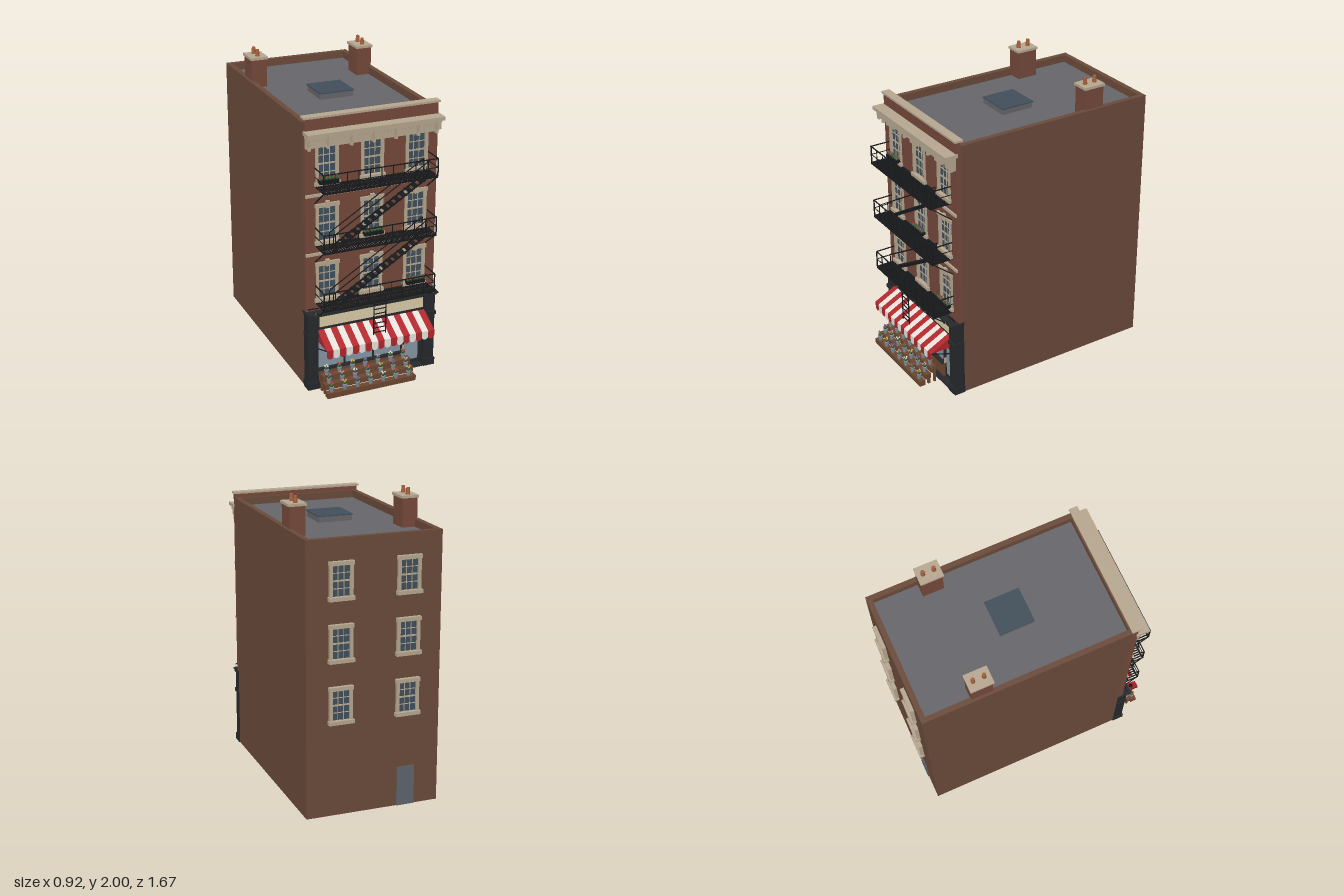
import * as THREE from 'three';

const C = {
  brick: 0x74483a, side: 0x6a4a3a, stone: 0xb5a68f, roof: 0x66666a, glass: 0x414f5a, shopGlass: 0x8496a2,
  iron: 0x18191b, shop: 0x26282b, cream: 0xd8cba6, red: 0xb0262c, white: 0xe6e2da, wood: 0x6b4630,
  clay: 0xa2603c, green: 0x35592f, bucket: 0x7d8a92, floor: 0x40342a, door: 0x5c646a
};
const mats = {};
const mat = (color) => (mats[color] ??= new THREE.MeshStandardMaterial({ color, side: THREE.DoubleSide, flatShading: true }));

function add(parent, name, geo, color) {
  const m = new THREE.Mesh(geo, mat(color));
  m.name = name;
  parent.add(m);
  return m;
}
// Box given by its limits on each axis
function box(parent, name, [x0, x1], [y0, y1], [z0, z1], color) {
  const m = add(parent, name, new THREE.BoxGeometry(x1 - x0, y1 - y0, z1 - z0), color);
  m.position.set((x0 + x1) / 2, (y0 + y1) / 2, (z0 + z1) / 2);
  return m;
}
// Square bar between two points
function bar(parent, name, a, b, t = 0.006, color = C.iron) {
  const p = new THREE.Vector3(...a), q = new THREE.Vector3(...b);
  const m = add(parent, name, new THREE.BoxGeometry(t, t, p.distanceTo(q)), color);
  m.position.copy(p).lerp(q, 0.5);
  m.lookAt(q);
  return m;
}
function group(parent, name) {
  const g = new THREE.Group();
  g.name = name;
  parent.add(g);
  return g;
}
function rect(Type, x0, x1, y0, y1) {
  const s = new Type();
  s.moveTo(x0, y0); s.lineTo(x1, y0); s.lineTo(x1, y1); s.lineTo(x0, y1); s.closePath();
  return s;
}

// Sash window: y is the sill level, z = 0 the wall face
function sashWindow(parent, x, y, z, h, keystone) {
  const g = group(parent, 'window');
  const w = 0.058, y0 = 0.025, y1 = h - 0.025;
  box(g, 'pane', [-w, w], [y0, y1], [-0.014, -0.008], C.glass);
  for (const s of [-1, 1]) {
    box(g, 'jamb', [s * 0.067 - 0.01, s * 0.067 + 0.01], [y0, y1], [-0.014, 0.008], C.stone);
    box(g, 'muntin', [s * 0.019 - 0.002, s * 0.019 + 0.002], [y0, y1], [-0.01, -0.004], C.stone);
  }
  for (let i = 1; i < 4; i++) {
    const my = y0 + (y1 - y0) * i / 4, t = i === 2 ? 0.005 : 0.002;
    box(g, 'crossbar', [-w, w], [my - t, my + t], [-0.01, -0.003], C.stone);
  }
  box(g, 'sill', [-0.085, 0.085], [0, 0.025], [-0.014, 0.02], C.stone);
  box(g, 'lintel', [-0.082, 0.082], [y1, h], [-0.014, 0.013], C.stone);
  if (keystone) box(g, 'keystone', [-0.013, 0.013], [y1 - 0.005, h + 0.015], [0, 0.02], C.stone);
  g.position.set(x, y, z);
  return g;
}

// Leafy clump with blossoms on top
function plant(parent, x, y, z, r, color) {
  const leaf = add(parent, 'leaves', new THREE.IcosahedronGeometry(r, 0), C.green);
  leaf.position.set(x, y, z);
  for (let i = 0; i < 3; i++) {
    const a = i * 2.1 + x * 9;
    const f = add(parent, 'blossom', new THREE.IcosahedronGeometry(r * 0.45, 0), color);
    f.position.set(x + Math.cos(a) * r * 0.7, y + r * 0.9, z + Math.sin(a) * r * 0.7);
  }
}

export function createModel() {
  const root = new THREE.Group();
  root.name = 'building';
  const floors = [0.605, 1.0, 1.395], cols = [-0.305, 0, 0.305];
  const F = 0.64; // upper front wall face

  // Hollow walls, roof and floor
  const plan = rect(THREE.Shape, -0.45, 0.45, -0.605, 0.805);
  plan.holes.push(rect(THREE.Path, -0.415, 0.415, -0.59, 0.77));
  const walls = add(root, 'walls', new THREE.ExtrudeGeometry(plan, { depth: 1.8, bevelEnabled: false }), C.side);
  walls.rotation.x = -Math.PI / 2;
  box(root, 'roof', [-0.42, 0.42], [1.73, 1.75], [-0.78, 0.6], C.roof);
  box(root, 'floor', [-0.42, 0.42], [0.008, 0.02], [-0.78, 0.6], C.floor);
  box(root, 'skylightCurb', [-0.115, 0.115], [1.75, 1.787], [-0.14, 0.085], C.roof);
  box(root, 'skylightGlass', [-0.12, 0.12], [1.787, 1.795], [-0.145, 0.09], C.glass);

  // Front wall with window openings
  const front = rect(THREE.Shape, -0.45, 0.45, 0.5, 1.83);
  for (const y of floors) for (const x of cols) front.holes.push(rect(THREE.Path, x - 0.07, x + 0.07, y + 0.01, y + 0.265));
  add(root, 'frontWall', new THREE.ExtrudeGeometry(front, { depth: F - 0.605, bevelEnabled: false }), C.brick).position.z = 0.605;
  for (const y of floors) for (const x of cols) sashWindow(root, x, y, F, 0.275, true);
  for (const y of [0.93, 1.325]) box(root, 'beltCourse', [-0.452, 0.452], [y, y + 0.018], [F, F + 0.012], C.stone);

  // Rear windows and door
  for (const y of [0.62, 1.02, 1.415]) for (const x of [-0.225, 0.225]) {
    sashWindow(root, x, y, -0.82, 0.245, false).rotation.y = Math.PI;
  }
  box(root, 'rearDoor', [-0.285, -0.165], [0, 0.265], [-0.812, -0.8], C.door);

  // Cornice with dentils and brackets
  const cornice = group(root, 'cornice');
  box(cornice, 'frieze', [-0.45, 0.45], [1.645, 1.71], [F, 0.655], C.stone);
  box(cornice, 'bedMoulding', [-0.453, 0.453], [1.71, 1.732], [F, 0.69], C.stone);
  box(cornice, 'crown', [-0.46, 0.46], [1.732, 1.755], [0.63, 0.72], C.stone);
  for (let i = 0; i <= 36; i++) {
    const x = -0.44 + i * 0.88 / 36;
    box(cornice, 'dentil', [x - 0.007, x + 0.007], [1.69, 1.712], [0.65, 0.672], C.stone);
  }
  for (const x of [-0.43, -0.305, -0.15, 0, 0.15, 0.305, 0.43]) {
    box(cornice, 'bracket', [x - 0.013, x + 0.013], [1.67, 1.73], [0.65, 0.7], C.stone);
    box(cornice, 'bracketFoot', [x - 0.009, x + 0.009], [1.635, 1.67], [0.65, 0.67], C.stone);
  }
  box(root, 'coping', [-0.46, 0.46], [1.83, 1.843], [0.592, 0.65], C.stone);

  // Chimneys
  for (const s of [-1, 1]) {
    const g = group(root, 'chimney');
    g.position.x = s * 0.379;
    box(g, 'stack', [-0.052, 0.052], [1.74, 1.94], [-0.47, -0.328], C.brick);
    box(g, 'cap', [-0.06, 0.06], [1.938, 1.955], [-0.476, -0.32], C.stone);
    for (const z of [-0.435, -0.362]) add(g, 'pot', new THREE.CylinderGeometry(0.011, 0.015, 0.047, 10), C.clay).position.set(0, 1.977, z);
  }

  // Shopfront
  const shop = group(root, 'shopfront');
  for (const s of [-1, 1]) {
    const g = group(shop, 'pilaster');
    g.position.x = s * 0.415;
    box(g, 'shaft', [-0.036, 0.036], [0, 0.53], [0.605, 0.675], C.shop);
    box(g, 'base', [-0.041, 0.041], [0, 0.05], [0.605, 0.685], C.shop);
    box(g, 'capital', [-0.041, 0.041], [0.372, 0.398], [0.605, 0.685], C.shop);
    bar(g, 'lampArm', [0, 0.575, F], [0, 0.582, 0.715], 0.006);
    add(g, 'lampShade', new THREE.ConeGeometry(0.015, 0.022, 10), C.iron).position.set(0, 0.573, 0.72);
  }
  box(shop, 'fascia', [-0.38, 0.38], [0.41, 0.525], [0.605, 0.66], C.shop);
  box(shop, 'signBoard', [-0.367, 0.367], [0.435, 0.512], [0.66, 0.668], C.cream);
  box(shop, 'shopCornice', [-0.455, 0.455], [0.52, 0.535], [0.605, 0.69], C.shop);
  box(shop, 'shopCorniceTop', [-0.46, 0.46], [0.535, 0.546], [0.605, 0.705], C.shop);
  box(shop, 'shopGlass', [-0.38, 0.24], [0.11, 0.41], [0.606, 0.622], C.shopGlass);
  box(shop, 'transomGlass', [0.24, 0.38], [0.28, 0.41], [0.606, 0.622], C.shopGlass);
  box(shop, 'stallRiser', [-0.38, 0.235], [0, 0.11], [0.606, 0.64], C.wood);
  box(shop, 'riserRail', [-0.38, 0.235], [0.105, 0.118], [0.606, 0.648], C.shop);
  for (const x of [-0.375, -0.177, 0.027, 0.232]) box(shop, 'mullion', [x - 0.004, x + 0.004], [0.11, 0.41], [0.606, 0.635], C.shop);
  box(shop, 'doorLeaf', [0.235, 0.38], [0, 0.275], [0.606, 0.625], C.shop);
  box(shop, 'doorPane', [0.258, 0.356], [0.04, 0.25], [0.625, 0.629], C.shopGlass);
  box(shop, 'doorHandle', [0.243, 0.25], [0.12, 0.16], [0.625, 0.64], C.stone);
  box(shop, 'doorstep', [-0.4, 0.4], [0, 0.008], [0.605, 0.68], C.shop);

  // Striped awning with scalloped valance
  const awning = group(root, 'awning');
  const n = 17, w = 0.76 / n;
  for (let i = 0; i < n; i++) {
    const x = -0.38 + (i + 0.5) * w, color = i % 2 ? C.white : C.red;
    const slope = add(awning, 'stripe', new THREE.PlaneGeometry(w, Math.hypot(0.155, 0.078)), color);
    slope.position.set(x, 0.374, 0.7375);
    slope.rotation.x = -Math.atan2(0.155, 0.078);
    const s = new THREE.Shape();
    s.moveTo(-w / 2, 0); s.lineTo(-w / 2, -0.038);
    s.absarc(0, -0.038, w / 2, Math.PI, 2 * Math.PI, false);
    s.lineTo(w / 2, 0);
    add(awning, 'valance', new THREE.ShapeGeometry(s, 6), color).position.set(x, 0.336, 0.815);
  }
  for (const x of [-0.38, 0.38]) {
    const t = new THREE.Shape([[-0.66, 0.335], [-0.66, 0.413], [-0.815, 0.335]].map((p) => new THREE.Vector2(...p)));
    const m = add(awning, 'awningSide', new THREE.ShapeGeometry(t), C.red);
    m.rotation.y = Math.PI / 2;
    m.position.x = x;
    bar(awning, 'awningArm', [x, 0.335, 0.812], [x, 0.285, 0.67], 0.005);
  }

  // Stepped flower stand
  const stand = group(root, 'flowerStand');
  const blooms = [0xc0392f, 0xd9b23c, 0x8a5fa8, 0xd98aa0, 0xe6e2da];
  for (let r = 0; r < 3; r++) {
    const z = 0.81 - r * 0.043, top = 0.037 + r * 0.041;
    box(stand, 'step', [-0.38, 0.245], [top - 0.037, top], [z - 0.022, z + 0.021], C.wood);
    for (let i = 0; i < 7; i++) {
      const x = -0.345 + i * 0.091;
      add(stand, 'bucket', new THREE.CylinderGeometry(0.016, 0.012, 0.034, 10), C.bucket).position.set(x, top + 0.017, z);
      plant(stand, x, top + 0.048, z, 0.015, blooms[(i + r * 2) % 5]);
    }
  }
  for (const x of [-0.37, 0.235]) {
    box(stand, 'standLeg', [x - 0.008, x + 0.008], [0, 0.085], [0.705, 0.72], C.wood);
    box(stand, 'standLeg', [x - 0.008, x + 0.008], [0, 0.045], [0.75, 0.765], C.wood);
  }

  // Window boxes, one per floor
  floors.forEach((y, k) => {
    const x = cols[2 - k], g = group(root, 'windowBox');
    box(g, 'trough', [x - 0.065, x + 0.065], [y + 0.02, y + 0.042], [0.65, 0.685], C.iron);
    for (let i = 0; i < 6; i++) plant(g, x - 0.055 + i * 0.022, y + 0.05, 0.668, 0.013, i % 2 ? C.green : C.red);
  });

  // Fire escape: slatted landings with railings and wall braces
  const escape = group(root, 'fireEscape');
  const X = 0.385, Z = 0.783, H = 0.117;
  for (const y of floors) {
    const g = group(escape, 'landing');
    for (let i = 0; i <= 48; i++) {
      const x = -X + i * X / 24;
      bar(g, 'slat', [x, y, F], [x, y, Z], 0.007);
    }
    for (const z of [F + 0.01, 0.71, Z]) bar(g, 'landingBeam', [-X, y - 0.004, z], [X, y - 0.004, z], 0.01);
    bar(g, 'topRail', [-X, y + H, Z], [X, y + H, Z]);
    bar(g, 'midRail', [-X, y + H / 2, Z], [X, y + H / 2, Z], 0.004);
    for (let i = 0; i <= 10; i++) {
      const x = -X + i * X / 5;
      bar(g, 'railPost', [x, y, Z], [x, y + H, Z], i % 10 ? 0.004 : 0.007);
    }
    for (const x of [-X, X]) {
      bar(g, 'endRail', [x, y + H, F], [x, y + H, Z]);
      bar(g, 'endMidRail', [x, y + H / 2, F], [x, y + H / 2, Z], 0.004);
      bar(g, 'brace', [x, y, Z], [x, y - 0.115, F]);
    }
  }
  // Stair flights between landings
  for (const y of floors.slice(0, 2)) {
    const g = group(escape, 'stairs');
    const x0 = -0.32, x1 = 0.32, rise = 0.395, z0 = 0.715, z1 = 0.778;
    for (const z of [z0, z1]) {
      bar(g, 'stringer', [x0, y, z], [x1, y + rise, z], 0.008);
      bar(g, 'handrail', [x0, y + 0.105, z], [x1, y + rise + 0.105, z], 0.005);
      bar(g, 'newel', [x0, y, z], [x0, y + 0.105, z], 0.005);
      bar(g, 'newel', [x1, y + rise, z], [x1, y + rise + 0.105, z], 0.005);
    }
    for (let i = 1; i < 16; i++) {
      const x = x0 + (x1 - x0) * i / 16, ty = y + rise * i / 16;
      box(g, 'tread', [x - 0.018, x + 0.018], [ty - 0.003, ty + 0.003], [z0, z1], C.iron);
    }
  }
  // Drop ladder
  const ladder = group(escape, 'dropLadder');
  for (const x of [-0.042, 0.042]) bar(ladder, 'ladderRail', [x, 0.37, Z], [x, 0.605, Z]);
  for (let i = 0; i < 7; i++) bar(ladder, 'rung', [-0.042, 0.385 + i * 0.033, Z], [0.042, 0.385 + i * 0.033, Z], 0.005);

  return root;
}
